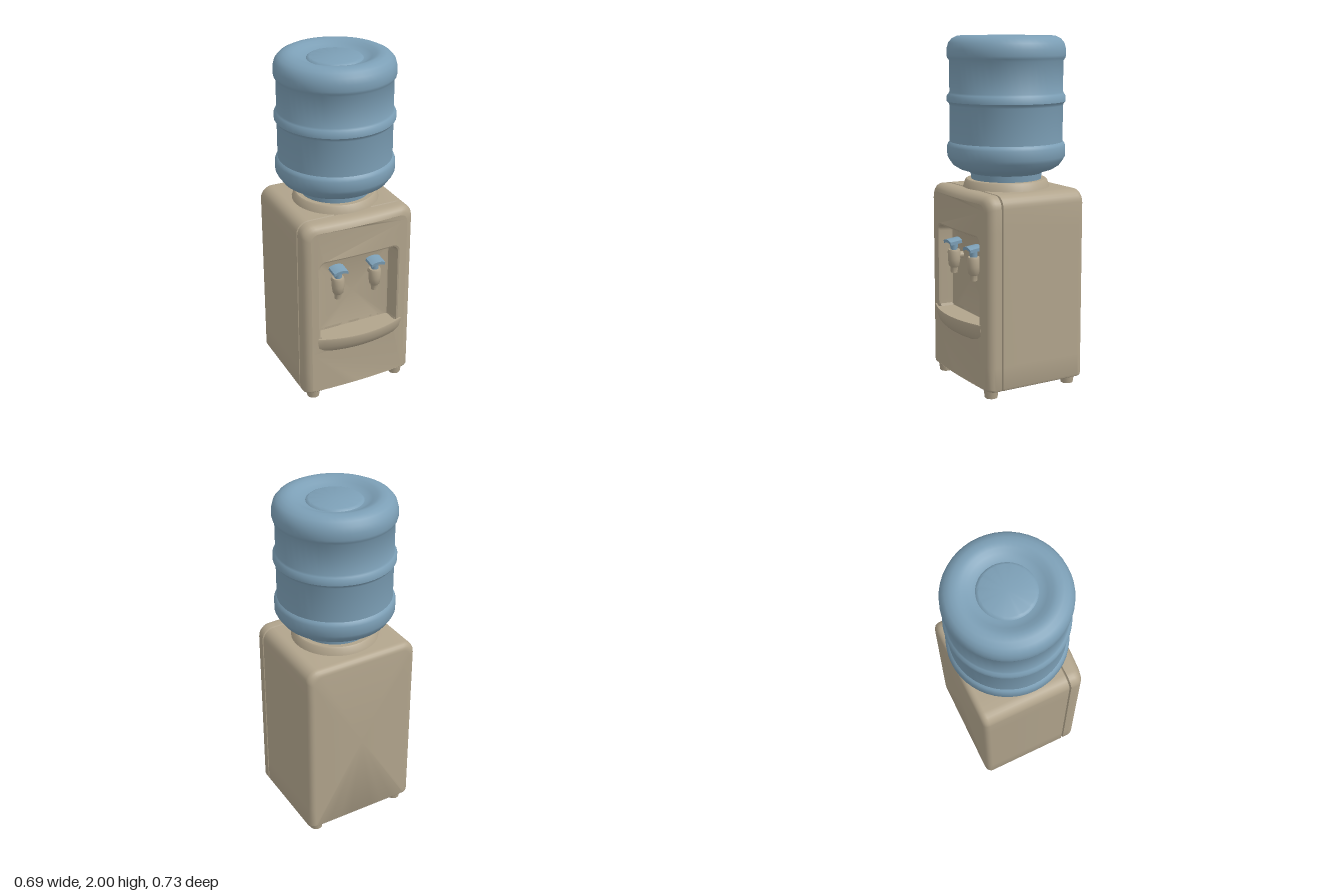
import * as THREE from 'three';
import { toCreasedNormals } from 'three/addons/utils/BufferGeometryUtils.js';

const beige = new THREE.MeshStandardMaterial({ color: 0xb1a48c });
beige.name = 'beige plastic';
const blue = new THREE.MeshStandardMaterial({ color: 0x7c9fb6 });
blue.name = 'blue plastic';

function add(parent, name, geometry, material, x = 0, y = 0, z = 0) {
  const mesh = new THREE.Mesh(geometry, material);
  mesh.name = name;
  mesh.position.set(x, y, z);
  parent.add(mesh);
  return mesh;
}

// Skin over a list of rings (arrays of Vector3), with optional fan caps.
function loft(rings, capStart, capEnd, crease = 0.6) {
  const n = rings[0].length, pos = [], index = [];
  rings.forEach((r) => r.forEach((p) => pos.push(p.x, p.y, p.z)));
  for (let k = 0; k < rings.length - 1; k++) {
    for (let i = 0; i < n; i++) {
      const a = k * n + i, b = k * n + (i + 1) % n;
      index.push(a, b, b + n, a, b + n, a + n);
    }
  }
  const cap = (k, flip) => {
    const c = new THREE.Vector3();
    rings[k].forEach((p) => c.addScaledVector(p, 1 / n));
    const ci = pos.length / 3;
    pos.push(c.x, c.y, c.z);
    for (let i = 0; i < n; i++) {
      const a = k * n + i, b = k * n + (i + 1) % n;
      index.push(...(flip ? [ci, b, a] : [ci, a, b]));
    }
  };
  if (capStart) cap(0, true);
  if (capEnd) cap(rings.length - 1, false);
  const g = new THREE.BufferGeometry();
  g.setAttribute('position', new THREE.Float32BufferAttribute(pos, 3));
  g.setIndex(index);
  return toCreasedNormals(g, crease);
}

// Gentle outward bow of the front panel.
const bow = (x) => 0.018 * (1 - (x / 0.345) ** 2);

// Rounded rectangle ring, counter-clockwise, facing +z.
function rectRing(x0, x1, y0, y1, rBottom, rTop, z, bowAmount = 0) {
  const corners = [
    [x1 - rBottom, y0 + rBottom, rBottom, -0.5], [x1 - rTop, y1 - rTop, rTop, 0],
    [x0 + rTop, y1 - rTop, rTop, 0.5], [x0 + rBottom, y0 + rBottom, rBottom, 1],
  ];
  const arc = corners.map(([cx, cy, r, a]) => Array.from({ length: 7 }, (_, i) => {
    const t = Math.PI * (a + i / 12);
    return new THREE.Vector3(cx + r * Math.cos(t), cy + r * Math.sin(t), z);
  }));
  const ring = [];
  arc.forEach((pts, k) => {
    ring.push(...pts);
    const next = arc[(k + 1) % 4][0];
    for (let i = 1; i < 8; i++) ring.push(pts[6].clone().lerp(next, i / 8));
  });
  ring.forEach((p) => { p.z += bowAmount * bow(p.x); });
  return ring;
}

const bodyRing = (z, inset, b = 0) => rectRing(-0.345 + inset, 0.345 - inset,
  0.045 + inset * 0.3, 1.145 - inset, 0.015, 0.07 - inset * 0.5, z, b);
const recessRing = (z, inset, b = 0) => rectRing(-0.258 + inset, 0.254 - inset,
  0.35 + inset, 0.92 - inset, 0.03, 0.045 - inset * 0.5, z, b);

function buildCabinet() {
  const g = new THREE.Group();
  g.name = 'cabinet';
  // Rear shell, ending in the shallow seam groove
  const back = [0, 1, 2, 3, 4, 5].map((i) => {
    const t = (i / 5) * Math.PI / 2;
    return bodyRing(-0.338 + 0.038 * (1 - Math.cos(t)), 0.038 * (1 - Math.sin(t)));
  });
  add(g, 'rearShell', loft([...back, bodyRing(0.195, 0), bodyRing(0.201, 0.012)], true, false), beige);

  // Front panel edge with its rounded rim
  const r = 0.045;
  const rim = [0, 1, 2, 3, 4, 5].map((i) => {
    const t = (i / 5) * Math.PI / 2;
    return bodyRing(0.24 + r * Math.sin(t), r * (1 - Math.cos(t)), i / 5);
  });
  add(g, 'frontPanelRim', loft([bodyRing(0.201, 0.012), bodyRing(0.207, 0), ...rim], false, false), beige);

  // Front face around the recess
  const flat = (ring) => ring.map((p) => new THREE.Vector2(p.x, p.y));
  const shape = new THREE.Shape(flat(bodyRing(0, r)));
  shape.holes.push(new THREE.Path(flat(recessRing(0, 0))));
  const face = new THREE.ShapeGeometry(shape);
  const p = face.attributes.position;
  for (let i = 0; i < p.count; i++) p.setZ(i, 0.285 + bow(p.getX(i)));
  face.computeVertexNormals();
  add(g, 'frontFace', face, beige);

  // Recess walls and back
  add(g, 'recess', loft([
    recessRing(0.285, 0, 1), recessRing(0.281, 0.009, 1), recessRing(0.27, 0.014, 1),
    recessRing(0.215, 0.02), recessRing(0.204, 0.024), recessRing(0.2, 0.034),
  ], false, true), beige);

  // Feet
  for (const x of [-0.275, 0.275]) {
    for (const z of [-0.275, 0.235]) {
      add(g, 'foot', new THREE.CylinderGeometry(0.044, 0.036, 0.055, 16), beige, x, 0.0275, z);
    }
  }
  return g;
}

// Drip tray: bowed outline, tapering downwards, with a dished top
function buildTray() {
  const ring = (y, sx, sz) => {
    const pts = [[0.245, 0.2], [0, 0.2], [-0.245, 0.2], [-0.25, 0.29]];
    for (let i = 0; i <= 16; i++) {
      const u = -1 + i / 8;
      pts.push([0.273 * u, 0.304 + 0.058 * (1 - u * u)]);
    }
    pts.push([0.25, 0.29]);
    return pts.map(([x, z]) => new THREE.Vector3(x * sx, y, 0.2 + (z - 0.2) * sz));
  };
  return loft([
    ring(0.316, 0.82, 0.62), ring(0.32, 0.88, 0.72), ring(0.335, 0.935, 0.82),
    ring(0.37, 0.965, 0.93), ring(0.418, 1, 1), ring(0.425, 0.995, 0.99),
    ring(0.425, 0.965, 0.93), ring(0.41, 0.94, 0.89),
  ], true, true, 0.7);
}

const lathe = (pts, seg) => toCreasedNormals(
  new THREE.LatheGeometry(pts.map(([x, y]) => new THREE.Vector2(x, y)), seg), 0.7);

// Tap with spout, stem, lever and a short pipe to the wall
function buildTap(x) {
  const g = new THREE.Group();
  g.name = 'tap';
  g.position.set(x, 0, 0.255);
  add(g, 'spout', lathe([[0, 0.64], [0.02, 0.64], [0.022, 0.672], [0.031, 0.682],
    [0.036, 0.72], [0.037, 0.765], [0.033, 0.777], [0, 0.777]], 16), beige);
  const pipe = add(g, 'pipe', new THREE.CylinderGeometry(0.02, 0.02, 0.06, 12), beige, 0, 0.74, -0.035);
  pipe.rotation.x = Math.PI / 2;
  add(g, 'stem', new THREE.CylinderGeometry(0.023, 0.021, 0.05, 12), blue, 0, 0.798, 0);
  // Lever paddle, arched across its width
  const paddle = new THREE.BoxGeometry(0.086, 0.018, 0.075, 8, 1, 1);
  const p = paddle.attributes.position;
  for (let i = 0; i < p.count; i++) p.setY(i, p.getY(i) - 6 * p.getX(i) ** 2);
  const lever = add(g, 'lever', toCreasedNormals(paddle, 0.6), blue, 0, 0.834, 0.008);
  lever.rotation.x = 0.12;
  return g;
}

export function createModel() {
  const model = new THREE.Group();
  model.name = 'waterDispenser';
  model.add(buildCabinet());
  add(model, 'dripTray', buildTray(), beige);
  model.add(buildTap(-0.12), buildTap(0.115));

  // Collar that carries the bottle
  add(model, 'collar', lathe([[0.255, 1.13], [0.247, 1.15], [0.236, 1.183],
    [0.228, 1.19], [0.19, 1.19]], 40), beige, 0, 0, -0.025);

  // Ribbed water bottle with a dished top
  add(model, 'bottle', lathe([
    [0.2, 1.18], [0.205, 1.225], [0.225, 1.236], [0.27, 1.25], [0.305, 1.272], [0.328, 1.305],
    [0.338, 1.325], [0.338, 1.38], [0.332, 1.395], [0.323, 1.405],
    [0.323, 1.61], [0.328, 1.622], [0.338, 1.632], [0.338, 1.662], [0.328, 1.675], [0.323, 1.685],
    [0.323, 1.86], [0.334, 1.875], [0.338, 1.89], [0.337, 1.925], [0.328, 1.958], [0.308, 1.982],
    [0.28, 1.996], [0.25, 2], [0.225, 1.994], [0.2, 1.98], [0.175, 1.969], [0.156, 1.966],
    [0.148, 1.974], [0.14, 1.977], [0, 1.977],
  ], 48), blue, 0, 0, -0.025);
  return model;
}
